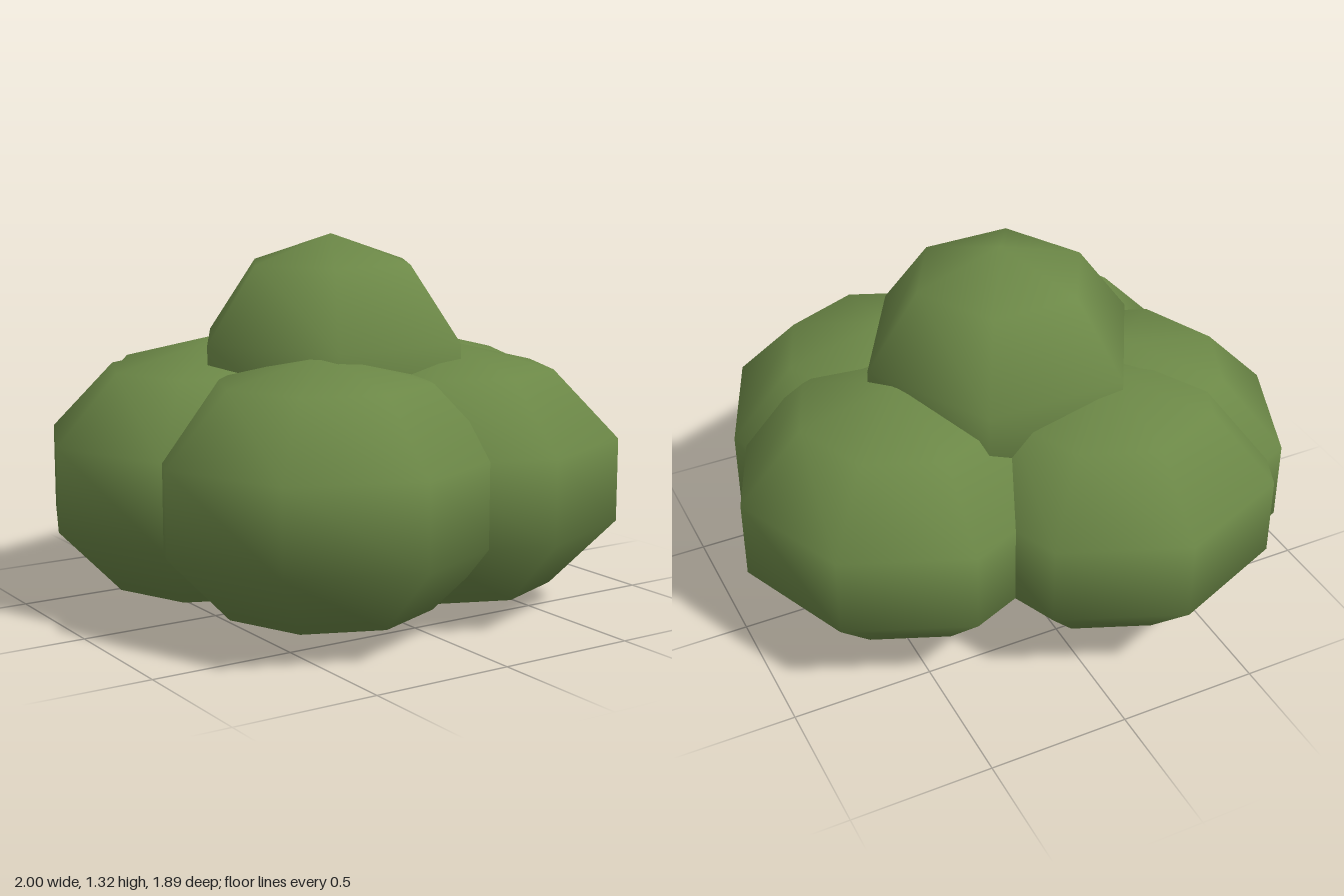
import * as THREE from 'three';

export function createModel() {
  const group = new THREE.Group();
  group.name = 'bush';
  const leafGreen = new THREE.MeshStandardMaterial({ color: 0x6c8847 });
  leafGreen.name = 'leafGreen';

  // One coarse, smooth-shaded ball of foliage
  function addLobe(name, radius, sides, squash, x, y, z) {
    const geometry = new THREE.SphereGeometry(radius, sides, 5);
    geometry.scale(1, squash, 1);
    const lobe = new THREE.Mesh(geometry, leafGreen);
    lobe.name = name;
    lobe.position.set(x, y, z);
    group.add(lobe);
  }

  // Ring of five flattened lower lobes
  const lowerLobes = [
    ['frontRightLobe', -0.263, 0.34],
    ['frontLeftLobe', 0.291, 0.285],
    ['leftLobe', 0.397, -0.088],
    ['backLobe', -0.263, -0.347],
    ['rightLobe', -0.4, -0.188],
  ];
  for (const [name, x, z] of lowerLobes) addLobe(name, 0.63, 8, 0.75, x, 0.474, z);

  // Crown on top
  addLobe('crownLobe', 0.527, 6, 1, -0.018, 0.793, 0);

  return group;
}
